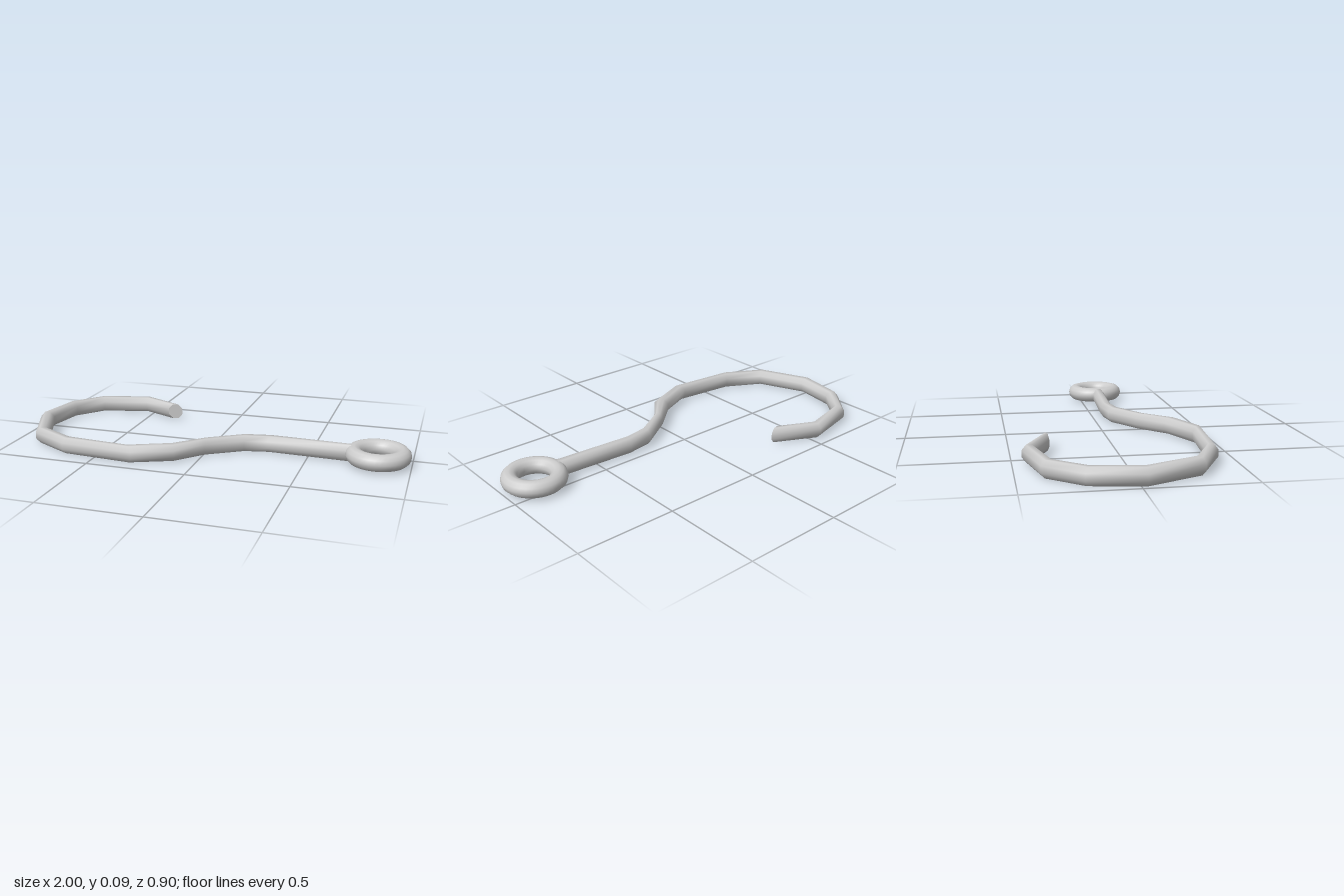
import * as THREE from 'three';

const SIDES = 8;
const HALF_HEIGHT = 0.0405;

// Plan outline of the bent rod, from the eye to the tip: [x, z] of both edges at each bend
const BENDS = [
  [0.715, 0.061, 0.715, 0.126],
  [0.313, 0.04, 0.297, 0.104],
  [0.174, 0.061, 0.184, 0.128],
  [0.003, 0.174, 0.013, 0.233],
  [-0.136, 0.297, -0.099, 0.369],
  [-0.337, 0.388, -0.294, 0.447],
  [-0.639, 0.356, -0.671, 0.414],
  [-0.821, 0.259, -0.88, 0.297],
  [-0.922, 0.019, -0.998, 0.024],
  [-0.89, -0.195, -0.949, -0.227],
  [-0.783, -0.329, -0.807, -0.393],
  [-0.543, -0.388, -0.543, -0.454],
  [-0.377, -0.313, -0.305, -0.332],
];

// Octagonal ring of points spanning the rod at one bend
function section([ax, az, bx, bz]) {
  const cx = (ax + bx) / 2, cz = (az + bz) / 2;
  const cy = 0.044 + 0.003 * cx; // the rod rises slightly towards the eye
  const k = 1 / Math.cos(Math.PI / SIDES);
  const points = [];
  for (let j = 0; j < SIDES; j++) {
    const a = ((j + 0.5) / SIDES) * Math.PI * 2;
    const c = Math.cos(a) * k, s = Math.sin(a) * k;
    points.push(new THREE.Vector3(
      cx + c * (bx - ax) / 2, cy + s * HALF_HEIGHT, cz + c * (bz - az) / 2));
  }
  return points;
}

function geometryFrom(points, index) {
  const geometry = new THREE.BufferGeometry().setFromPoints(points);
  geometry.setIndex(index);
  geometry.computeVertexNormals();
  return geometry;
}

function loft(rings) {
  const index = [];
  for (let i = 0; i < rings.length - 1; i++) {
    for (let j = 0; j < SIDES; j++) {
      const a = i * SIDES + j, b = i * SIDES + (j + 1) % SIDES;
      index.push(a, b, a + SIDES, b, b + SIDES, a + SIDES);
    }
  }
  return geometryFrom(rings.flat(), index);
}

function cap(ring) {
  const index = [];
  for (let j = 1; j < SIDES - 1; j++) index.push(0, j, j + 1);
  return geometryFrom(ring, index);
}

export function createModel() {
  const group = new THREE.Group();
  group.name = 'hook';
  const material = new THREE.MeshStandardMaterial({ color: 0xcccccc });
  const add = (name, geometry) => {
    const mesh = new THREE.Mesh(geometry, material);
    mesh.name = name;
    group.add(mesh);
    return mesh;
  };

  // Bent rod with flat ends
  const rings = BENDS.map(section);
  add('hookRod', loft(rings));
  add('hookTip', cap(rings[rings.length - 1]));
  add('rodEnd', cap([...rings[0]].reverse()));

  // Eye ring lying flat
  const eye = add('eyeRing', new THREE.TorusGeometry(0.116, 0.042, 12, 40).rotateX(Math.PI / 2));
  eye.position.set(0.84, 0.048, 0.091);
  return group;
}
